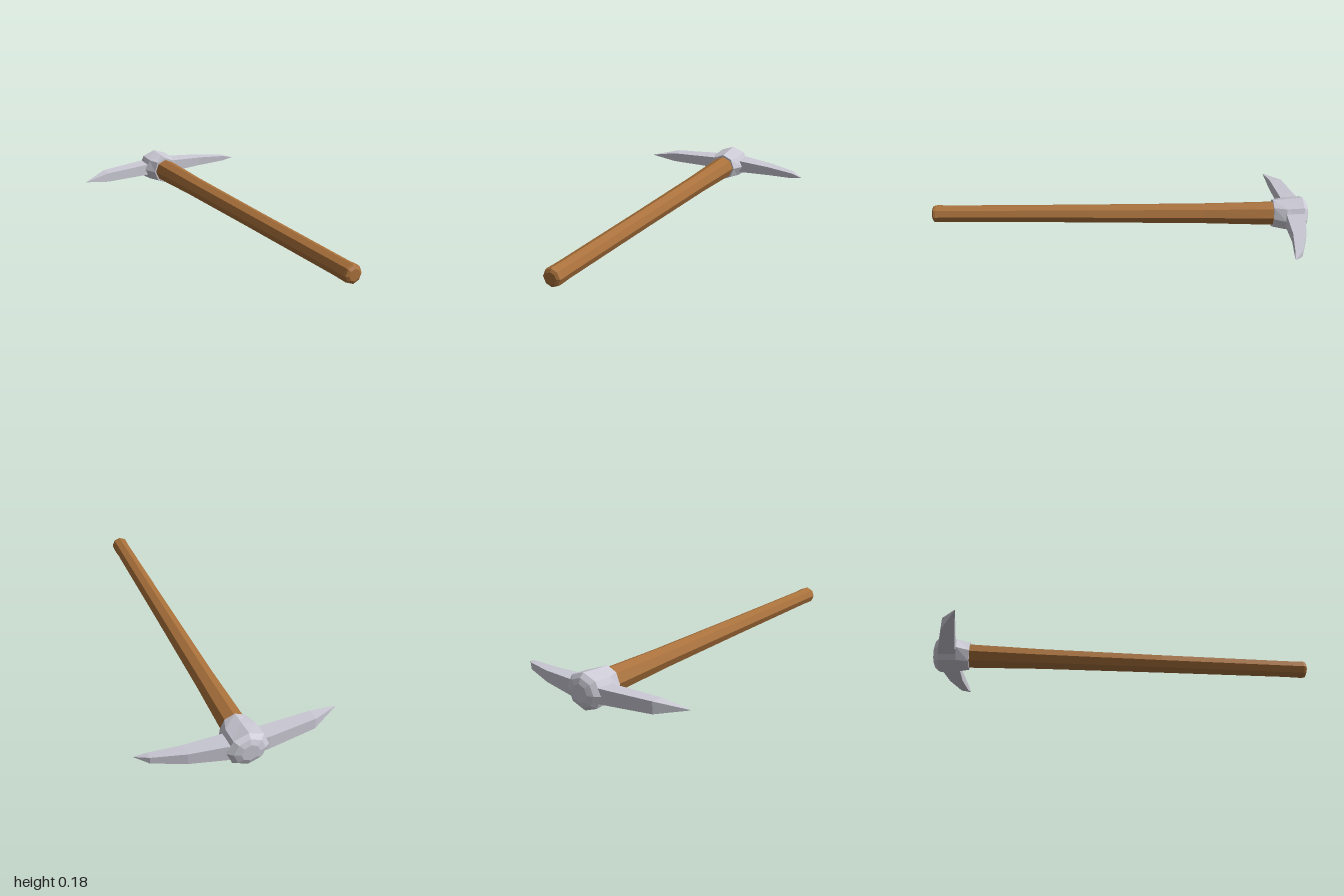
import * as THREE from 'three';

const CX = 0.006, CY = 0.095; // axis of the handle

// Skin a list of rings (each a loop of [x, y, z]) and close both ends with fans.
function loft(rings, material, name) {
  const pos = [];
  const tri = (a, b, c) => pos.push(...a, ...b, ...c);
  const n = rings[0].length;
  const centre = (ring) => [0, 1, 2].map((k) => ring.reduce((s, p) => s + p[k], 0) / n);
  const first = rings[0], last = rings[rings.length - 1];
  const c0 = centre(first), c1 = centre(last);
  for (let i = 0; i < n; i++) {
    const j = (i + 1) % n;
    for (let r = 0; r < rings.length - 1; r++) {
      const a = rings[r], b = rings[r + 1];
      tri(a[i], a[j], b[j]);
      tri(a[i], b[j], b[i]);
    }
    tri(c0, first[j], first[i]);
    tri(c1, last[i], last[j]);
  }
  const geometry = new THREE.BufferGeometry();
  geometry.setAttribute('position', new THREE.Float32BufferAttribute(pos, 3));
  geometry.computeVertexNormals();
  const mesh = new THREE.Mesh(geometry, material);
  mesh.name = name;
  return mesh;
}

// Octagon across the handle axis, with corners on the x and y axes.
const octagon = ([z, rx, ry = rx]) => Array.from({ length: 8 }, (_, i) => {
  const a = (i * Math.PI) / 4;
  return [CX + rx * Math.cos(a), CY + ry * Math.sin(a), z];
});

// One arm of the pick: sections are [x, zBack, zFront, half height].
function pickArm(side, sections, material, name) {
  const rings = sections.map(([x, zb, zf, h]) => {
    const ring = [
      [side * x, CY - h, zb],
      [side * x, CY + h, zb],
      [side * x, CY + h * 0.86, zf],
      [side * x, CY - h * 0.86, zf],
    ];
    return side > 0 ? ring : ring.reverse();
  });
  return loft(rings, material, name);
}

export function createModel() {
  const model = new THREE.Group();
  model.name = 'pickaxe';
  const wood = new THREE.MeshStandardMaterial({ color: 0xa9713b, flatShading: true });
  const steel = new THREE.MeshStandardMaterial({ color: 0xcbcad5, flatShading: true });

  // Handle: thickens towards the head, with a bevelled butt
  model.add(loft([
    [-0.86, 0.066], [-0.8, 0.065], [-0.45, 0.056], [0.2, 0.05],
    [0.9, 0.046], [0.98, 0.048], [0.992, 0.045], [1, 0.03],
  ].map(octagon), wood, 'handle'));

  // Head: flared collar with a domed back
  const head = new THREE.Group();
  head.name = 'head';
  head.add(loft([
    [-1, 0.045, 0.045], [-0.99, 0.078, 0.072], [-0.97, 0.104, 0.092],
    [-0.88, 0.104, 0.083], [-0.815, 0.073, 0.078],
  ].map(octagon), steel, 'collar'));

  // Arms: the right one breaks once, the left one curves more gradually
  head.add(pickArm(-1, [
    [0.05, -0.972, -0.885, 0.038], [0.1, -0.97, -0.882, 0.037],
    [0.355, -0.926, -0.862, 0.03], [0.5, -0.849, -0.847, 0.001],
  ], steel, 'rightPick'));
  head.add(pickArm(1, [
    [0.05, -0.972, -0.876, 0.041], [0.1, -0.97, -0.876, 0.04],
    [0.28, -0.942, -0.874, 0.029], [0.44, -0.893, -0.855, 0.017],
    [0.5, -0.848, -0.845, 0.001],
  ], steel, 'leftPick'));
  model.add(head);
  return model;
}
